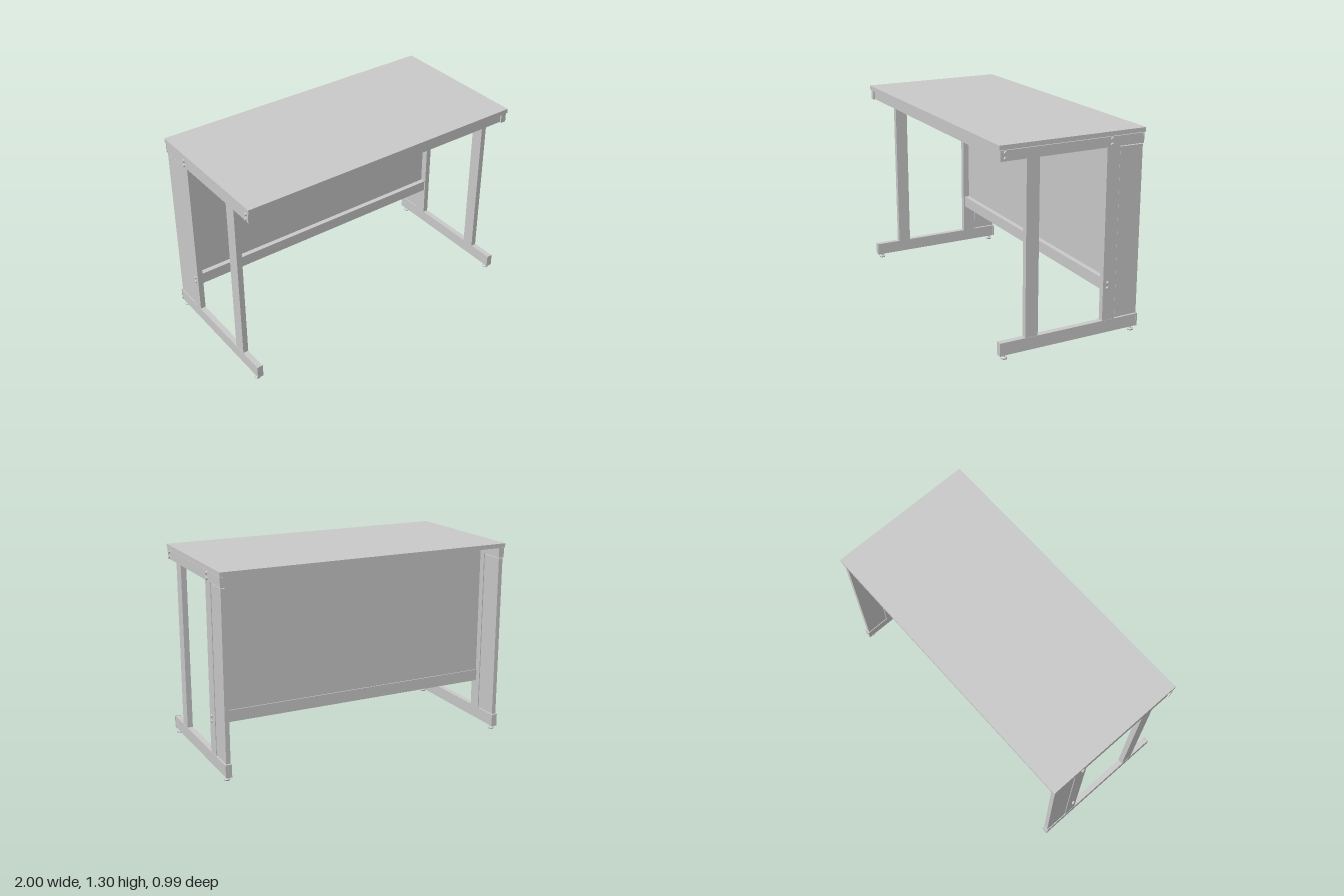
import * as THREE from 'three';

export function createModel() {
  const model = new THREE.Group();
  const grey = new THREE.MeshStandardMaterial({ color: 0xcccccc });

  // Box given by its limits on each axis
  function box(parent, name, [x0, x1], [y0, y1], [z0, z1]) {
    const mesh = new THREE.Mesh(new THREE.BoxGeometry(x1 - x0, y1 - y0, z1 - z0), grey);
    mesh.name = name;
    mesh.position.set((x0 + x1) / 2, (y0 + y1) / 2, (z0 + z1) / 2);
    parent.add(mesh);
    return mesh;
  }

  function cylinder(parent, name, rTop, rBottom, height, x, y, z) {
    const mesh = new THREE.Mesh(new THREE.CylinderGeometry(rTop, rBottom, height, 24), grey);
    mesh.name = name;
    mesh.position.set(x, y, z);
    parent.add(mesh);
    return mesh;
  }

  // Worktop and cross members
  box(model, 'worktop', [-0.995, 0.995], [1.277, 1.305], [-0.492, 0.493]);
  box(model, 'frontRail', [-0.955, 0.955], [1.212, 1.272], [0.433, 0.472]);
  box(model, 'rearTopRail', [-0.955, 0.955], [1.212, 1.274], [-0.27, -0.238]);
  box(model, 'rearLowerRail', [-0.955, 0.955], [0.303, 0.38], [-0.28, -0.236]);
  box(model, 'modestyPanel', [-0.951, 0.951], [0.382, 1.275], [-0.278, -0.268]);

  // End frames, one per side
  for (const side of [1, -1]) {
    const frame = new THREE.Group();
    frame.name = side > 0 ? 'leftEndFrame' : 'rightEndFrame';
    const span = (a, b) => (side > 0 ? [a, b] : [-b, -a]);

    box(frame, 'footBeam', span(0.956, 0.993), [0.028, 0.109], [-0.478, 0.476]);
    box(frame, 'topBeam', span(0.955, 0.991), [1.21, 1.273], [-0.478, 0.474]);
    box(frame, 'frontLeg', span(0.955, 0.991), [0.109, 1.21], [0.23, 0.315]);
    box(frame, 'rearLeg', span(0.955, 0.991), [0.109, 1.21], [-0.315, -0.226]);
    box(frame, 'sidePanel', span(0.959, 0.988), [0.114, 1.204], [-0.478, -0.318]);

    // Plastic caps on the beam ends
    box(frame, 'footCapFront', span(0.954, 0.995), [0.026, 0.111], [0.476, 0.486]);
    box(frame, 'footCapRear', span(0.954, 0.995), [0.026, 0.111], [-0.486, -0.478]);
    box(frame, 'topCapFront', span(0.954, 0.993), [1.209, 1.274], [0.474, 0.483]);
    box(frame, 'topCapRear', span(0.954, 0.993), [1.209, 1.274], [-0.483, -0.478]);

    // Bolt heads on the outer face
    for (const [y, z] of [
      [1.225, 0.453], [1.258, 0.453], [1.225, -0.258],
      [1.258, -0.258], [0.321, -0.258], [0.355, -0.258],
    ]) {
      const bolt = cylinder(frame, 'bolt', 0.009, 0.011, 0.01, side * 0.995, y, z);
      bolt.rotation.z = -side * Math.PI / 2;
    }

    // Adjustable levelling feet
    for (const z of [0.45, -0.45]) {
      const x = side * 0.975;
      cylinder(frame, 'levellerStem', 0.008, 0.008, 0.024, x, 0.018, z);
      cylinder(frame, 'levellerCone', 0.012, 0.021, 0.006, x, 0.011, z);
      cylinder(frame, 'levellerPad', 0.021, 0.018, 0.008, x, 0.004, z);
    }
    model.add(frame);
  }

  return model;
}
